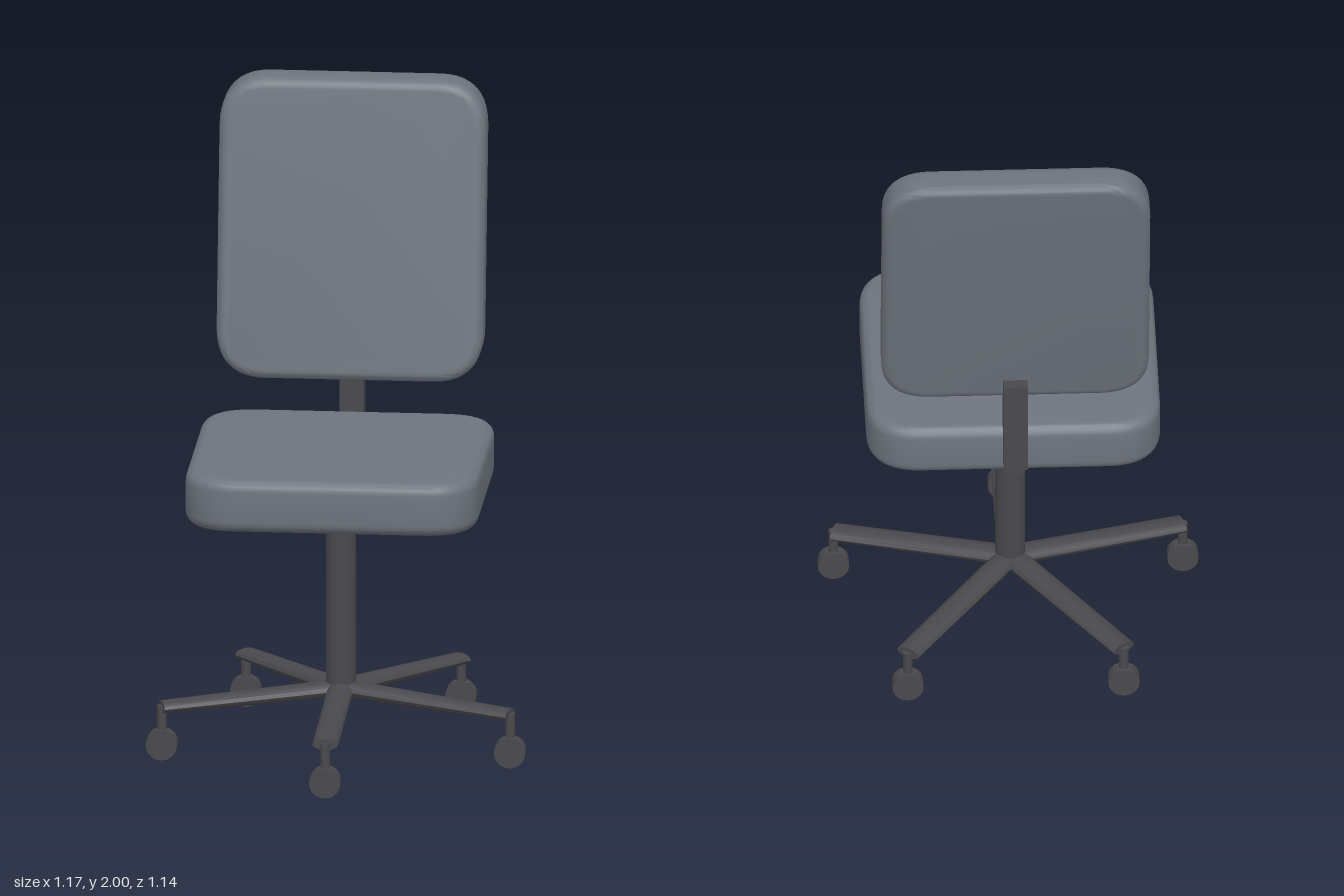
import * as THREE from 'three';
import { toCreasedNormals } from 'three/addons/utils/BufferGeometryUtils.js';

const AXIS_Z = -0.0125; // centre of column and star base

// Soft padded slab: w by h outline, depth along z, centred on the origin
function cushion(w, h, depth, corner, bevel) {
  const x = w / 2 - bevel, y = h / 2 - bevel, c = corner;
  const s = new THREE.Shape();
  s.moveTo(-x + c, -y);
  s.lineTo(x - c, -y);
  s.quadraticCurveTo(x, -y, x, -y + c);
  s.lineTo(x, y - c);
  s.quadraticCurveTo(x, y, x - c, y);
  s.lineTo(-x + c, y);
  s.quadraticCurveTo(-x, y, -x, y - c);
  s.lineTo(-x, -y + c);
  s.quadraticCurveTo(-x, -y, -x + c, -y);
  const g = new THREE.ExtrudeGeometry(s, {
    depth: depth - 2 * bevel, bevelEnabled: true, bevelThickness: bevel,
    bevelSize: bevel, bevelSegments: 6, curveSegments: 10,
  });
  return g.translate(0, 0, bevel - depth / 2);
}

// Flattened spoke running out along +z, sinking and thinning towards its tip
function spokeGeometry(length) {
  const g = new THREE.CylinderGeometry(0.04, 0.04, length, 12);
  g.rotateX(Math.PI / 2).translate(0, 0, length / 2);
  const p = g.attributes.position;
  for (let i = 0; i < p.count; i++) {
    const t = p.getZ(i) / length;
    p.setY(i, 0.19 - 0.025 * t + p.getY(i) * (0.68 - 0.24 * t));
  }
  return toCreasedNormals(g, 0.7);
}

export function createModel() {
  const chair = new THREE.Group();
  chair.name = 'officeChair';

  const fabric = new THREE.MeshStandardMaterial({ color: 0x6e747e });
  fabric.name = 'greyFabric';
  const metal = new THREE.MeshStandardMaterial({ color: 0x49484c });
  metal.name = 'darkMetal';

  const add = (name, geometry, material, x, y, z) => {
    const mesh = new THREE.Mesh(geometry, material);
    mesh.name = name;
    mesh.position.set(x, y, z);
    chair.add(mesh);
    return mesh;
  };

  // Seat cushion
  const seat = cushion(0.9, 0.86, 0.165, 0.13, 0.035).rotateX(-Math.PI / 2);
  add('seat', toCreasedNormals(seat, 0.8), fabric, 0, 0.8825, 0.021);

  // Backrest, sheared backwards so its top and bottom stay level
  const back = cushion(0.82, 0.915, 0.125, 0.12, 0.03);
  back.applyMatrix4(new THREE.Matrix4().set(
    1, 0, 0, 0,
    0, 1, 0, 0,
    0, -0.175, 1, 0,
    0, 0, 0, 1));
  add('backrest', toCreasedNormals(back, 0.8), fabric, 0, 1.5425, -0.4275);

  // Upright and bracket joining seat to backrest
  add('backSupport', new THREE.BoxGeometry(0.074, 0.315, 0.075), metal, 0, 1.0075, -0.4245);
  add('supportBracket', new THREE.BoxGeometry(0.06, 0.05, 0.14), metal, 0, 0.835, -0.355);

  // Centre column
  add('column', new THREE.CylinderGeometry(0.046, 0.046, 0.635, 24), metal, 0, 0.4875, AXIS_Z);

  // Five spokes, each with a stem and a wheel; the wheels all roll along x
  const reach = 0.5625;
  const spoke = spokeGeometry(reach);
  const stem = new THREE.CylinderGeometry(0.015, 0.015, 0.09, 12);
  const wheel = new THREE.CylinderGeometry(0.048, 0.048, 0.043, 20).rotateX(Math.PI / 2);
  for (let i = 0; i < 5; i++) {
    const a = (i * Math.PI * 2) / 5;
    const x = Math.sin(a) * reach, z = AXIS_Z + Math.cos(a) * reach;
    add('baseSpoke' + (i + 1), spoke, metal, 0, 0, AXIS_Z).rotation.y = a;
    add('casterStem' + (i + 1), stem, metal, x, 0.125, z);
    add('casterWheel' + (i + 1), wheel, metal, x, 0.048, z);
  }
  return chair;
}
